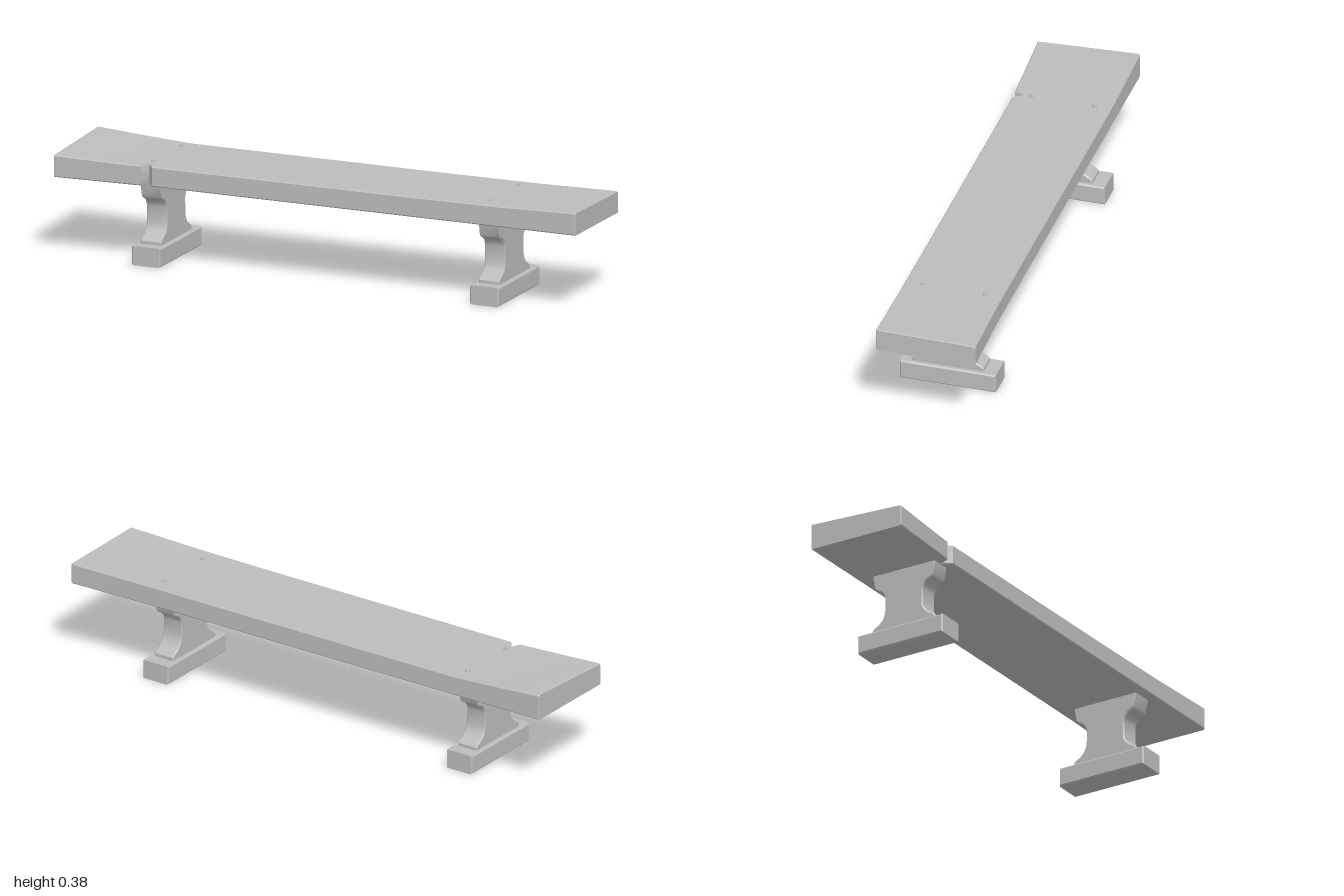
import * as THREE from 'three';
import { toCreasedNormals } from 'three/addons/utils/BufferGeometryUtils.js';

const stone = new THREE.MeshStandardMaterial({ color: 0xbcbcbc });
stone.name = 'grey stone';

function add(parent, name, geometry) {
  const mesh = new THREE.Mesh(geometry, stone);
  mesh.name = name;
  parent.add(mesh);
  return mesh;
}

// Chamfered slab: outline in (z, y), given full width along x
function slab(points, width, bevel) {
  const shape = new THREE.Shape(points.map(([z, y]) => new THREE.Vector2(z, y)));
  const geo = new THREE.ExtrudeGeometry(shape, {
    depth: width - 2 * bevel, bevelEnabled: true, bevelSize: bevel,
    bevelThickness: bevel, bevelOffset: -bevel, bevelSegments: 1,
  });
  geo.translate(0, 0, bevel - width / 2).rotateY(-Math.PI / 2);
  return toCreasedNormals(geo, 0.5);
}

// Seat: chamfered sections joined along x, warped at the ends, chipped in front
function seatGeometry() {
  const b = 0.004, bottom = 0.29;
  // x, front z, back z, top y at front, top y at back
  const stations = [
    [-1, 0.189, -0.18, 0.368, 0.384],
    [-0.996, 0.192, -0.183, 0.37, 0.385],
    [-0.85, 0.184, -0.183, 0.366, 0.375],
    [-0.7, 0.176, -0.183, 0.363, 0.366],
    [-0.67, 0.174, -0.183, 0.363, 0.365],
    [-0.655, 0.138, -0.183, 0.363, 0.364],
    [-0.63, 0.172, -0.183, 0.363, 0.363],
    [-0.55, 0.172, -0.183, 0.363, 0.363],
    [0.35, 0.172, -0.183, 0.363, 0.363],
    [0.7, 0.172, -0.184, 0.365, 0.364],
    [0.996, 0.172, -0.192, 0.372, 0.367],
    [1, 0.169, -0.189, 0.37, 0.365],
  ];
  const rings = stations.map(([x, f, k, tf, tk]) => [
    [k + b, bottom], [f - b, bottom], [f, bottom + b], [f, tf - b],
    [f - b, tf], [k + b, tk], [k, tk - b], [k, bottom + b],
  ].map(([z, y]) => [x, y, z]));
  const pos = [];
  const tri = (...corners) => corners.forEach((c) => pos.push(...c));
  for (let i = 0; i < rings.length - 1; i++) {
    for (let j = 0; j < 8; j++) {
      const k = (j + 1) % 8;
      const [p, q] = [rings[i], rings[i + 1]];
      tri(p[j], q[j], q[k]);
      tri(p[j], q[k], p[k]);
    }
  }
  // End caps
  const first = rings[0], last = rings[rings.length - 1];
  for (let j = 1; j < 7; j++) {
    tri(first[0], first[j], first[j + 1]);
    tri(last[0], last[j + 1], last[j]);
  }
  const geo = new THREE.BufferGeometry();
  geo.setAttribute('position', new THREE.Float32BufferAttribute(pos, 3));
  return toCreasedNormals(geo, 0.4);
}

// Waisted support outline in (z, y)
const supportOutline = [
  [-0.127, 0.066], [0.135, 0.066], [0.135, 0.081], [0.126, 0.09], [0.107, 0.1],
  [0.092, 0.115], [0.084, 0.132], [0.083, 0.195], [0.088, 0.211], [0.1, 0.224],
  [0.121, 0.235], [0.126, 0.243], [0.135, 0.294],
  [-0.125, 0.294], [-0.116, 0.243], [-0.111, 0.235], [-0.09, 0.224],
  [-0.078, 0.211], [-0.072, 0.195], [-0.073, 0.15], [-0.076, 0.132],
  [-0.084, 0.115], [-0.099, 0.1], [-0.118, 0.09], [-0.127, 0.081],
];
const footOutline = [[-0.176, 0], [0.175, 0], [0.175, 0.07], [-0.176, 0.07]];

export function createModel() {
  const model = new THREE.Group();
  model.name = 'bench';
  add(model, 'seat', seatGeometry());

  const supportGeo = slab(supportOutline, 0.08, 0.004);
  const footGeo = slab(footOutline, 0.11, 0.005);
  const pegGeo = new THREE.CylinderGeometry(0.007, 0.01, 0.012, 8);

  for (const [side, x] of [['right', -0.652], ['left', 0.65]]) {
    const leg = new THREE.Group();
    leg.name = side + 'Leg';
    leg.position.x = x;
    add(leg, 'support', supportGeo);
    add(leg, 'foot', footGeo);
    model.add(leg);

    // Pegs through the seat above each leg
    for (const z of [-0.122, 0.108]) {
      add(model, side + 'Peg', pegGeo).position.set(x, 0.366, z);
    }
  }
  return model;
}
